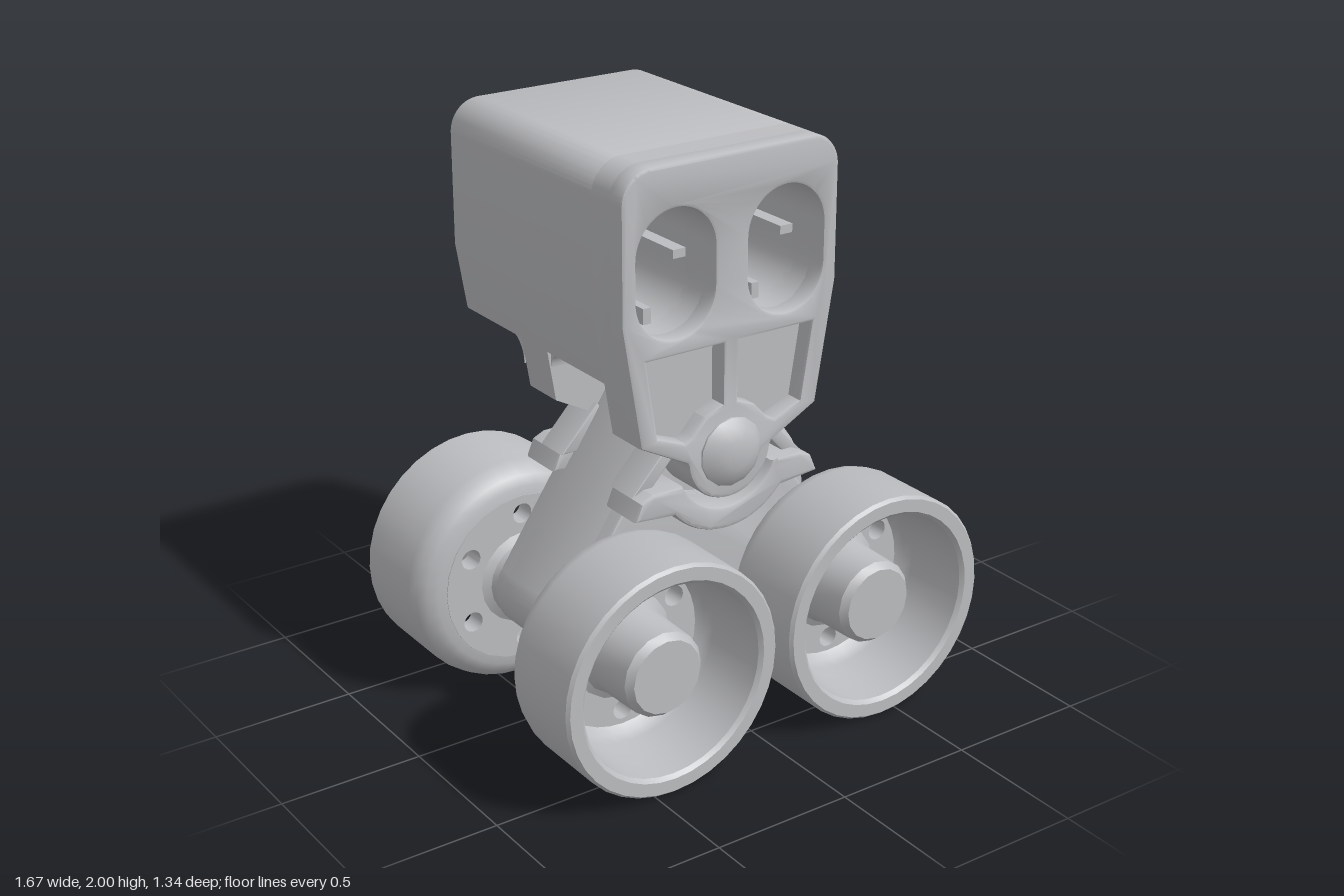
import * as THREE from 'three';
import { toCreasedNormals } from 'three/addons/utils/BufferGeometryUtils.js';

const PI = Math.PI;
const PIVOT = 0.99;   // pivot bolt height
const MID = 0.025;    // z of the bogie's middle plane

export function createModel() {
  const grey = new THREE.MeshStandardMaterial({ color: 0xbcbdc0 });
  grey.name = 'plain grey';
  const model = new THREE.Group();
  model.name = 'fourWheelBogie';

  const add = (parent, name, geometry) => {
    const mesh = new THREE.Mesh(toCreasedNormals(geometry, 0.55), grey);
    mesh.name = name;
    parent.add(mesh);
    return mesh;
  };
  // Extrusion between two z planes, with an optional small edge bevel
  const slab = (shape, z0, z1, b = 0) => {
    const g = new THREE.ExtrudeGeometry(shape, {
      depth: z1 - z0 - 2 * b, bevelEnabled: b > 0, bevelThickness: b,
      bevelSize: b, bevelOffset: -b, bevelSegments: 2, curveSegments: 12,
    });
    return g.translate(0, 0, z0 + b);
  };
  // Lathe about the z axis from [radius, z] pairs
  const turned = (pts, sides) => new THREE.LatheGeometry(
    pts.map(([r, z]) => new THREE.Vector2(r, z)), sides).rotateX(PI / 2);
  const poly = (pts, Type = THREE.Shape) => new Type(pts.map(([x, y]) => new THREE.Vector2(x, y)));
  const box = (x0, x1, y0, y1, z0, z1) => new THREE.BoxGeometry(x1 - x0, y1 - y0, z1 - z0)
    .translate((x0 + x1) / 2, (y0 + y1) / 2, (z0 + z1) / 2);
  const oval = (Type, cx, w, h) => {
    const p = new Type(), cy = 1.64, s = h - w;
    p.absarc(cx, cy + s, w, 0, PI, false);
    p.absarc(cx, cy - s, w, PI, 2 * PI, false);
    p.closePath();
    return p;
  };

  // ---------- Head ----------
  const head = new THREE.Group();
  head.name = 'head';
  model.add(head);
  const edgeX = y => (y > 1.5 ? 0.42 : 0.42 - (1.5 - y) / 6);

  const roundTop = (s, w, top, r) => {
    s.lineTo(w, top - r);
    s.absarc(w - r, top - r, r, 0, PI / 2, false);
    s.absarc(-w + r, top - r, r, PI / 2, PI, false);
  };
  const lugBottom = s => {
    s.lineTo(-0.35, 1.08);
    s.lineTo(-0.17, 0.985);
    s.absarc(0, PIVOT, 0.165, PI + 0.1, 2 * PI - 0.1, false);
    s.lineTo(0.17, 0.985);
    s.lineTo(0.35, 1.08);
  };
  const faceShape = () => {
    const s = new THREE.Shape();
    s.moveTo(0.42, 1.5);
    roundTop(s, 0.42, 2, 0.11);
    s.lineTo(-0.42, 1.5);
    lugBottom(s);
    s.closePath();
    for (const m of [-1, 1]) s.holes.push(oval(THREE.Path, m * 0.215, 0.15, 0.215));
    return s;
  };
  const lugShape = () => {
    const s = new THREE.Shape();
    s.moveTo(edgeX(1.3), 1.3);
    s.lineTo(-edgeX(1.3), 1.3);
    lugBottom(s);
    s.closePath();
    return s;
  };
  const panels = (s, top) => {
    for (const m of [-1, 1]) s.holes.push(poly([
      [m * 0.03, top], [m * (edgeX(top) - 0.07), top], [m * 0.285, 1.1], [m * 0.18, 1.06],
      [m * 0.15, 1.075], [m * 0.1, 1.13], [m * 0.03, 1.16]], THREE.Path));
    return s;
  };
  add(head, 'frontFace', slab(panels(faceShape(), 1.37), 0.285, 0.365, 0.012));
  add(head, 'frontLug', slab(faceShape(), 0.2, 0.3));
  add(head, 'rearLug', slab(lugShape(), -0.265, -0.14));
  add(head, 'rearLugRim', slab(panels(lugShape(), 1.2), -0.31, -0.25, 0.01));

  // Hollow body, open at the back
  const shell = new THREE.Shape();
  shell.moveTo(0.42, 1.5);
  roundTop(shell, 0.42, 2, 0.11);
  [[-0.42, 1.5], [-0.38, 1.26], [0.38, 1.26]].forEach(p => shell.lineTo(...p));
  shell.closePath();
  const cavity = new THREE.Path();
  cavity.moveTo(0.38, 1.5);
  roundTop(cavity, 0.38, 1.96, 0.07);
  [[-0.38, 1.5], [-0.345, 1.3], [0.345, 1.3]].forEach(p => cavity.lineTo(...p));
  cavity.closePath();
  shell.holes.push(cavity);
  add(head, 'bodyShell', slab(shell, -0.665, 0.21, 0.008));

  // Stepped oval sockets with their ribs
  const tube = (cx, w, h, iw, ih) => {
    const s = oval(THREE.Shape, cx, w, h);
    s.holes.push(oval(THREE.Path, cx, iw, ih));
    return s;
  };
  for (const m of [-1, 1]) {
    const cx = m * 0.215;
    add(head, 'wideSocket', slab(tube(cx, 0.175, 0.24, 0.15, 0.215), -0.12, 0.22));
    add(head, 'socketStep', slab(tube(cx, 0.175, 0.24, 0.075, 0.14), -0.15, -0.12));
    add(head, 'narrowSocket', slab(tube(cx, 0.108, 0.173, 0.075, 0.14), -0.66, -0.14));
    add(head, 'upperRib', box(cx - 0.015, cx + 0.015, 1.8, 1.97, -0.64, 0.2));
    add(head, 'lowerRib', box(cx - 0.015, cx + 0.015, 1.28, 1.48, -0.64, 0.2));
    const a = m * 0.315, b = m * 0.4;
    add(head, 'sideRib', box(Math.min(a, b), Math.max(a, b), 1.625, 1.655, -0.64, 0.2));
  }
  add(head, 'crossRib', box(-0.115, 0.115, 1.625, 1.655, -0.6, 0.2));

  // Concave fillets under the body, running along x
  const fillet = (z, r, dir) => {
    const s = new THREE.Shape(), pts = [[0, 0]];
    for (let i = 0; i <= 8; i++) {
      const t = (i / 8) * PI / 2;
      pts.push([-dir * r * (1 - Math.sin(t)), -r * (1 - Math.cos(t))]);
    }
    s.setFromPoints(pts.map(([x, y]) => new THREE.Vector2(x, y)));
    const g = slab(s, -0.366, 0.366).rotateY(PI / 2);
    add(head, 'fillet', g.translate(0, 1.262, z));
  };
  fillet(0.2, 0.06, -1);
  fillet(-0.14, 0.06, 1);
  fillet(-0.31, 0.1, -1);

  // ---------- Pivot bolt ----------
  const bolt = add(model, 'pivotBolt', turned([
    [0, -0.33], [0.042, -0.33], [0.042, -0.38], [0.067, -0.38], [0.067, 0.36], [0.12, 0.36],
    [0.12, 0.372], [0.09, 0.396], [0.05, 0.409], [0, 0.413]], 14));
  bolt.position.y = PIVOT;

  // ---------- Bogie frame ----------
  const frame = new THREE.Group();
  frame.name = 'bogieFrame';
  model.add(frame);
  const T = 0.596; // angle of the sloping flank's normal
  const arms = s => {
    s.absarc(-0.43, 0.41, 0.15, PI - T, 1.5 * PI, false);
    s.absarc(0.43, 0.41, 0.15, -PI / 2, T, false);
  };
  const core = new THREE.Shape();
  core.absarc(0, PIVOT, 0.18, T, PI - T, false);
  arms(core);
  core.closePath();
  add(frame, 'pivotCore', slab(core, -0.14, 0.19, 0.01));

  const beam = new THREE.Shape();
  beam.moveTo(0.292, 0.88);
  beam.lineTo(0.18, 0.9);
  beam.absarc(0, PIVOT, 0.2, -0.46, PI + 0.46, true);
  beam.lineTo(-0.292, 0.88);
  arms(beam);
  beam.closePath();
  add(frame, 'wheelBeam', slab(beam, -0.19, 0.24, 0.012));

  // Curved saddles cradling the lugs, with small struts above them
  const saddle = new THREE.Shape();
  saddle.moveTo(0.37, 0.825);
  [[0.345, 0.885], [0.3, 0.905], [0.18, 0.905]].forEach(p => saddle.lineTo(...p));
  saddle.absarc(0, PIVOT, 0.2, -0.44, PI + 0.44, true);
  [[-0.3, 0.905], [-0.345, 0.885], [-0.37, 0.825], [-0.22, 0.81]].forEach(p => saddle.lineTo(...p));
  saddle.absarc(0, PIVOT, 0.28, PI + 0.69, 2 * PI - 0.69, false);
  saddle.lineTo(0.22, 0.81);
  saddle.closePath();
  for (const [z0, z1, s0, s1] of [[0.18, 0.36, 0.17, 0.3], [-0.31, -0.13, -0.25, -0.12]]) {
    add(frame, 'saddle', slab(saddle, z0, z1, 0.014));
    for (const m of [-1, 1]) add(frame, 'strut', slab(poly([
      [m * 0.345, 0.885], [m * 0.2, 1.04], [m * 0.165, 1.01], [m * 0.28, 0.885]]), s0, s1, 0.006));
  }

  // ---------- Wheels ----------
  const disc = new THREE.Shape();
  disc.absarc(0, 0, 0.305, 0, 2 * PI, false);
  for (let i = 0; i < 6; i++) {
    const a = PI / 2 + i * PI / 3, hole = new THREE.Path();
    const c = [0.238 * Math.cos(a), 0.238 * Math.sin(a)];
    hole.moveTo(c[0] + 0.036, c[1]);
    hole.absarc(c[0], c[1], 0.036, 0, 2 * PI, false);
    disc.holes.push(hole);
  }
  const tyre = [[0.29, 0.267], [0.335, 0.272], [0.37, 0.288], [0.395, 0.318], [0.405, 0.355],
    [0.405, 0.633], [0.395, 0.645], [0.35, 0.645], [0.337, 0.632], [0.325, 0.4], [0.315, 0.365],
    [0.29, 0.34], [0.29, 0.267]];
  const hub = [[0.195, 0.338], [0.165, 0.355], [0.153, 0.39], [0.148, 0.575], [0.128, 0.6], [0, 0.6]];
  const collar = [[0, 0.2], [0.1, 0.2], [0.1, 0.225], [0.135, 0.225], [0.14, 0.25], [0.17, 0.267], [0, 0.267]];
  for (const x of [-0.4325, 0.4325]) for (const turn of [0, PI]) {
    const wheel = new THREE.Group();
    wheel.name = (turn ? 'rear' : 'front') + (x > 0 ? 'Left' : 'Right') + 'Wheel';
    wheel.position.set(x, 0.41, MID);
    wheel.rotation.y = turn;
    add(wheel, 'tyre', turned(tyre, 36));
    add(wheel, 'wheelDisc', slab(disc, 0.266, 0.342));
    add(wheel, 'hub', turned(hub, 16));
    add(wheel, 'axleCollar', turned(collar, 20));
    model.add(wheel);
  }
  return model;
}
